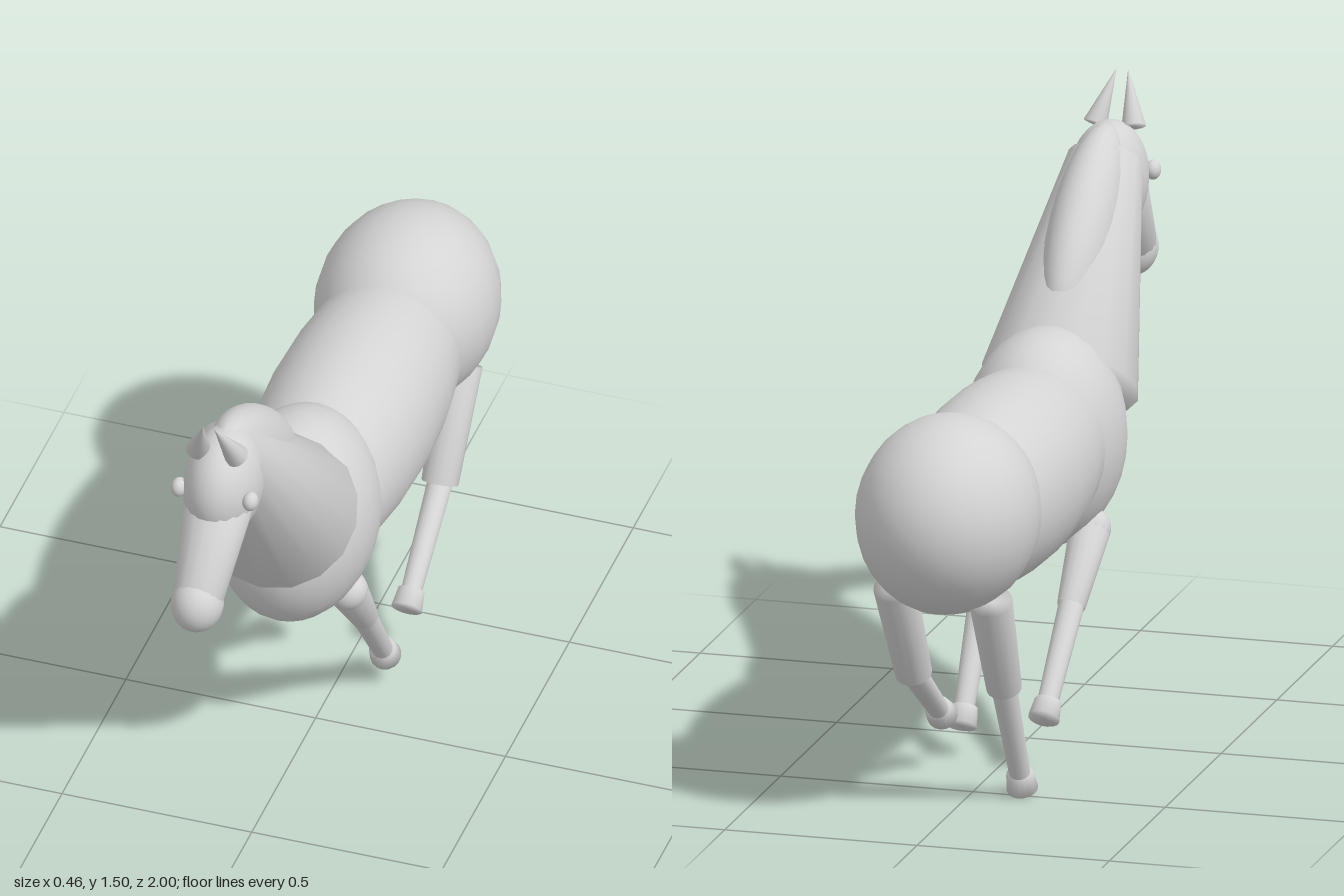
import * as THREE from 'three';
import { mergeVertices } from 'three/addons/utils/BufferGeometryUtils.js';

export function createModel() {
  const model = new THREE.Group();
  model.name = 'horse';
  const coat = new THREE.MeshStandardMaterial({ color: 0xd4d4d4 });
  coat.name = 'light grey coat';

  const V = (x, y, z) => new THREE.Vector3(x, y, z);
  const UP = V(0, 1, 0);

  function add(name, geometry, position, parent) {
    const mesh = new THREE.Mesh(geometry, coat);
    mesh.name = name;
    mesh.position.copy(position);
    parent.add(mesh);
    return mesh;
  }

  // Ellipsoid with semi-axes rx, ry, rz
  function ellipsoid(name, position, rx, ry, rz, parent = model) {
    const g = new THREE.SphereGeometry(1, 24, 16);
    g.scale(rx, ry, rz);
    return add(name, g, position, parent);
  }

  // Tapered limb from a to b, shaded smoothly over its end caps
  function limb(name, a, b, ra, rb, parent = model) {
    const dir = b.clone().sub(a);
    const tube = new THREE.CylinderGeometry(rb, ra, dir.length(), 16);
    tube.deleteAttribute('normal');
    tube.deleteAttribute('uv');
    const g = mergeVertices(tube);
    g.computeVertexNormals();
    const mesh = add(name, g, a.clone().add(b).multiplyScalar(0.5), parent);
    mesh.quaternion.setFromUnitVectors(UP, dir.normalize());
    return mesh;
  }

  // Trunk
  ellipsoid('barrel', V(0, 0.753, -0.27), 0.217, 0.243, 0.62);
  ellipsoid('chest', V(0, 0.75, 0.14), 0.203, 0.28, 0.272);
  ellipsoid('rump', V(0, 0.79, -0.72), 0.23, 0.252, 0.28);

  // Neck and mane crest
  limb('neck', V(0, 0.853, 0.28), V(0, 1.32, 0.69), 0.201, 0.095);
  const mane = ellipsoid('mane', V(0, 1.196, 0.492), 0.085, 0.115, 0.31);
  mane.rotation.x = -Math.atan2(0.65, 0.76);

  // Head
  ellipsoid('head', V(0, 1.26, 0.715), 0.098, 0.15, 0.145);
  limb('muzzle', V(0, 1.22, 0.76), V(0, 1.035, 0.922), 0.088, 0.064);
  ellipsoid('nose', V(0, 1.027, 0.925), 0.066, 0.075, 0.075);
  for (const s of [1, -1]) {
    const side = s > 0 ? 'left' : 'right';
    ellipsoid(side + 'Eye', V(s * 0.094, 1.27, 0.79), 0.02, 0.025, 0.025);
    limb(side + 'Ear', V(s * 0.05, 1.385, 0.768), V(s * 0.016, 1.508, 0.837), 0.031, 0.001);
  }

  // Legs: joints given as [x, y, z]
  const legs = [
    { name: 'leftFrontLeg', hip: [0.127, 0.53, 0.13], knee: [0.122, 0.345, -0.015], hoof: [0.116, 0.105, -0.19], r: [0.052, 0.036] },
    { name: 'rightFrontLeg', hip: [-0.127, 0.53, 0.115], knee: [-0.122, 0.37, -0.04], hoof: [-0.12, 0.16, -0.26], r: [0.052, 0.036] },
    { name: 'leftHindLeg', hip: [0.127, 0.6, -0.76], knee: [0.122, 0.335, -0.61], hoof: [0.13, 0.16, -0.345], r: [0.055, 0.047] },
    { name: 'rightHindLeg', hip: [-0.127, 0.585, -0.775], knee: [-0.122, 0.325, -0.64], hoof: [-0.126, 0.045, -0.503], r: [0.055, 0.045] },
  ];
  for (const l of legs) {
    const leg = new THREE.Group();
    leg.name = l.name;
    model.add(leg);
    const hip = V(...l.hip);
    const knee = V(...l.knee);
    const hoof = V(...l.hoof);
    const step = hoof.clone().sub(knee).normalize().multiplyScalar(0.025);
    limb('upperLeg', hip, knee, l.r[0], l.r[1], leg);
    if (l.name.includes('Front')) ellipsoid('shoulder', hip, l.r[0], l.r[0], l.r[0], leg);
    limb('lowerLeg', knee.clone().sub(step), hoof, 0.033, 0.026, leg);
    limb('hoof', hoof.clone().sub(step), hoof.clone().add(step), 0.034, 0.04, leg);
  }

  // Rest the lowest hoof on the ground
  const box = new THREE.Box3().setFromObject(model, true);
  for (const part of model.children) part.position.y -= box.min.y;
  return model;
}
